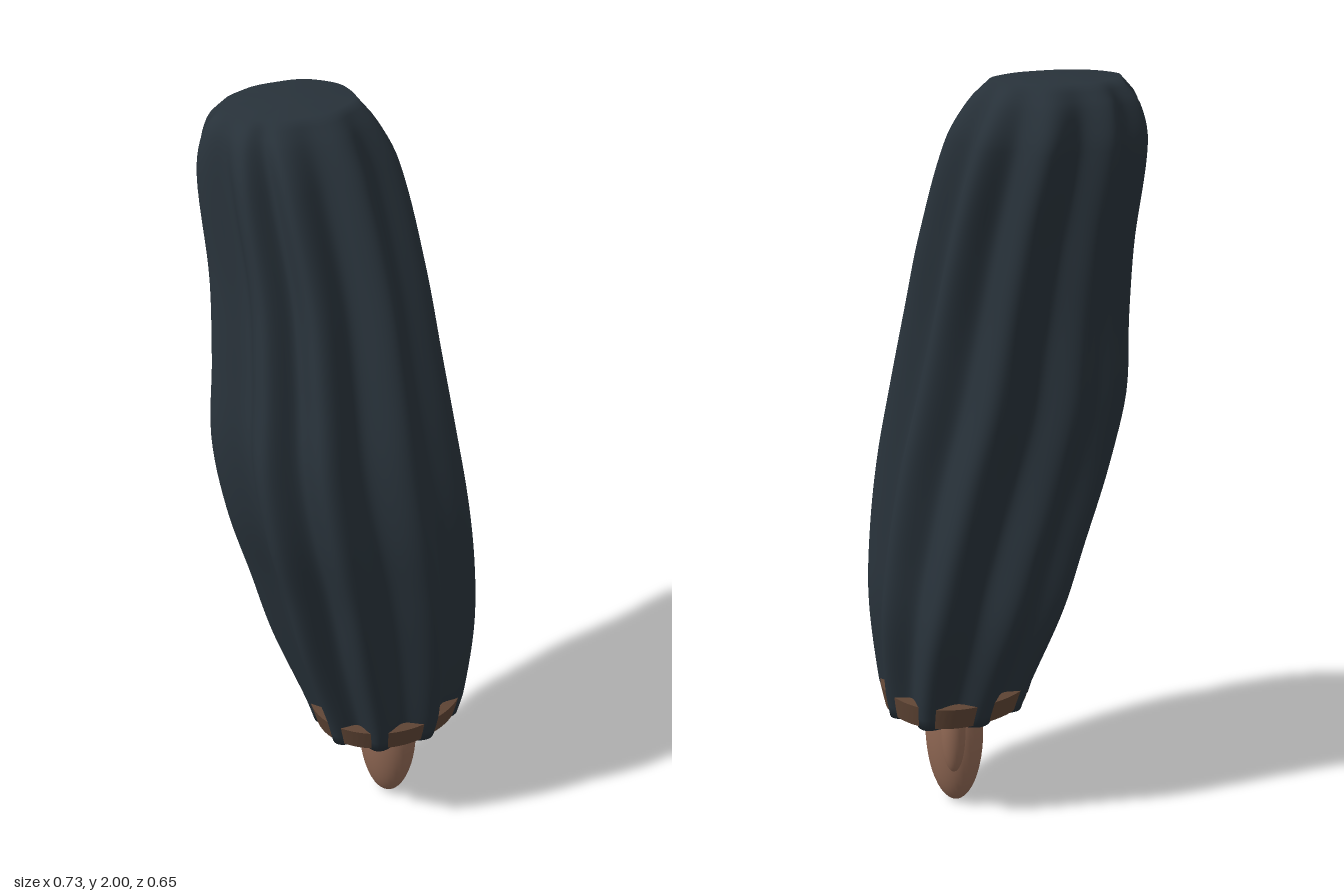
import * as THREE from 'three';
import { toCreasedNormals } from 'three/addons/utils/BufferGeometryUtils.js';

// sleeve outline: height, min x, max x, min z, max z, fold depth
const ROWS = [
  [0.295, -0.06, 0.295, -0.288, 0.125, 0.032],
  [0.37, -0.085, 0.315, -0.302, 0.147, 0.036],
  [0.60, -0.165, 0.347, -0.327, 0.225, 0.05],
  [0.80, -0.205, 0.363, -0.314, 0.277, 0.058],
  [1.00, -0.24, 0.36, -0.292, 0.327, 0.06],
  [1.20, -0.278, 0.328, -0.268, 0.342, 0.06],
  [1.40, -0.298, 0.276, -0.248, 0.312, 0.057],
  [1.60, -0.327, 0.212, -0.238, 0.283, 0.052],
  [1.85, -0.365, 0.108, -0.22, 0.27, 0.042],
  [1.95, -0.335, 0.04, -0.18, 0.242, 0.022],
  [2.00, -0.28, -0.02, -0.14, 0.20, 0.003],
];
// directions of the fold ridges at the cuff and near the top,
// in degrees from +x towards +z
const LOW_RIDGES = [-4, 39, 76, 119, 154, 194, 239, 279, 316];
const HIGH_RIDGES = [-6, 38, 64, 110, 143, 180, 221, 262, 308];
const SIDES = 160;

// 0 on a ridge, 1 in the valley between two ridges
function valley(angle, y) {
  const t = THREE.MathUtils.clamp((y - 0.3) / 1.55, 0, 1);
  const ridges = LOW_RIDGES.map((r, k) => r + (HIGH_RIDGES[k] - r) * t);
  ridges.push(ridges[0] + 360);
  let deg = THREE.MathUtils.radToDeg(angle);
  if (deg >= ridges[9]) deg -= 360;
  const i = ridges.findIndex((r, k) => deg >= r && deg < ridges[k + 1]);
  const u = (deg - ridges[i]) / (ridges[i + 1] - ridges[i]);
  return (1 - Math.cos(2 * Math.PI * u)) / 2;
}

// outline at a height, smoothly following the rows
function rowAt(y) {
  let i = 0;
  while (i < ROWS.length - 2 && y > ROWS[i + 1][0]) i++;
  const h = ROWS[i + 1][0] - ROWS[i][0];
  const t = (y - ROWS[i][0]) / h;
  const slope = (k, c) => {
    const a = ROWS[Math.max(k - 1, 0)], b = ROWS[Math.min(k + 1, ROWS.length - 1)];
    return (b[c] - a[c]) / (b[0] - a[0]);
  };
  return ROWS[i].map((v, c) => c === 0 ? y :
    (2 * t ** 3 - 3 * t ** 2 + 1) * v + (t ** 3 - 2 * t ** 2 + t) * h * slope(i, c) +
    (3 * t ** 2 - 2 * t ** 3) * ROWS[i + 1][c] + (t ** 3 - t ** 2) * h * slope(i + 1, c));
}

// joins loops of [height, inset rule] from bottom to top, with optional ends;
// the back corners are slightly fuller than an ellipse
function loft(loops, capped) {
  const pos = [], index = [];
  for (const [y, inset] of loops) {
    const [, x0, x1, z0, z1, depth] = rowAt(y);
    for (let j = 0; j < SIDES; j++) {
      const angle = j / SIDES * Math.PI * 2;
      const d = depth * inset(angle, y);
      const full = angle > Math.PI ? 1 + 0.045 * Math.sin(2 * angle) ** 2 : 1;
      pos.push((x0 + x1) / 2 + Math.cos(angle) * ((x1 - x0) / 2 * full - d), y,
        (z0 + z1) / 2 + Math.sin(angle) * ((z1 - z0) / 2 * full - d));
    }
  }
  for (let i = 0; i < loops.length - 1; i++) {
    for (let j = 0; j < SIDES; j++) {
      const a = i * SIDES + j, c = i * SIDES + (j + 1) % SIDES;
      index.push(a, a + SIDES, c, c, a + SIDES, c + SIDES);
    }
  }
  if (capped) {
    for (const i of [0, loops.length - 1]) {
      const [y, x0, x1, z0, z1] = rowAt(loops[i][0]);
      const centre = pos.length / 3;
      pos.push((x0 + x1) / 2, y, (z0 + z1) / 2);
      for (let j = 0; j < SIDES; j++) {
        const a = i * SIDES + j, b = i * SIDES + (j + 1) % SIDES;
        index.push(centre, i ? b : a, i ? a : b);
      }
    }
  }
  const geo = new THREE.BufferGeometry();
  geo.setAttribute('position', new THREE.Float32BufferAttribute(pos, 3));
  geo.setIndex(index);
  geo.computeVertexNormals();
  return geo;
}

export function createModel() {
  const group = new THREE.Group();
  const material = (name, color) => {
    const m = new THREE.MeshStandardMaterial({ color });
    m.name = name;
    return m;
  };
  const cloth = material('dark cloth', 0x28323a);
  const trim = material('brown trim', 0x5e4434);
  const skin = material('skin', 0x8f6753);
  const add = (name, geo, mat) => {
    const mesh = new THREE.Mesh(geo, mat);
    mesh.name = name;
    group.add(mesh);
    return mesh;
  };

  // folded sleeve, rounded over at the top
  const levels = [];
  for (let i = 0; i <= 48; i++) levels.push([0.295 + 1.555 * i / 48, valley]);
  for (let i = 1; i <= 8; i++) levels.push([1.85 + 0.15 * i / 8, valley]);
  add('sleeve', loft(levels, true), cloth);

  // cuff band showing in the valleys of the folds
  const outer = () => 0.25;
  const inner = () => 1.3;
  add('cuffBand', toCreasedNormals(
    loft([[0.299, inner], [0.301, outer], [0.335, outer], [0.364, outer], [0.37, inner]], false), 0.6), trim);

  // hand and thumb
  const ellipsoid = (name, x, y, z, rx, ry, rz) => {
    const mesh = add(name, new THREE.SphereGeometry(1, 32, 24), skin);
    mesh.position.set(x, y, z);
    mesh.scale.set(rx, ry, rz);
  };
  ellipsoid('hand', 0.11, 0.215, -0.1, 0.09, 0.215, 0.073);
  ellipsoid('thumb', 0.055, 0.24, -0.145, 0.035, 0.12, 0.033);
  return group;
}
